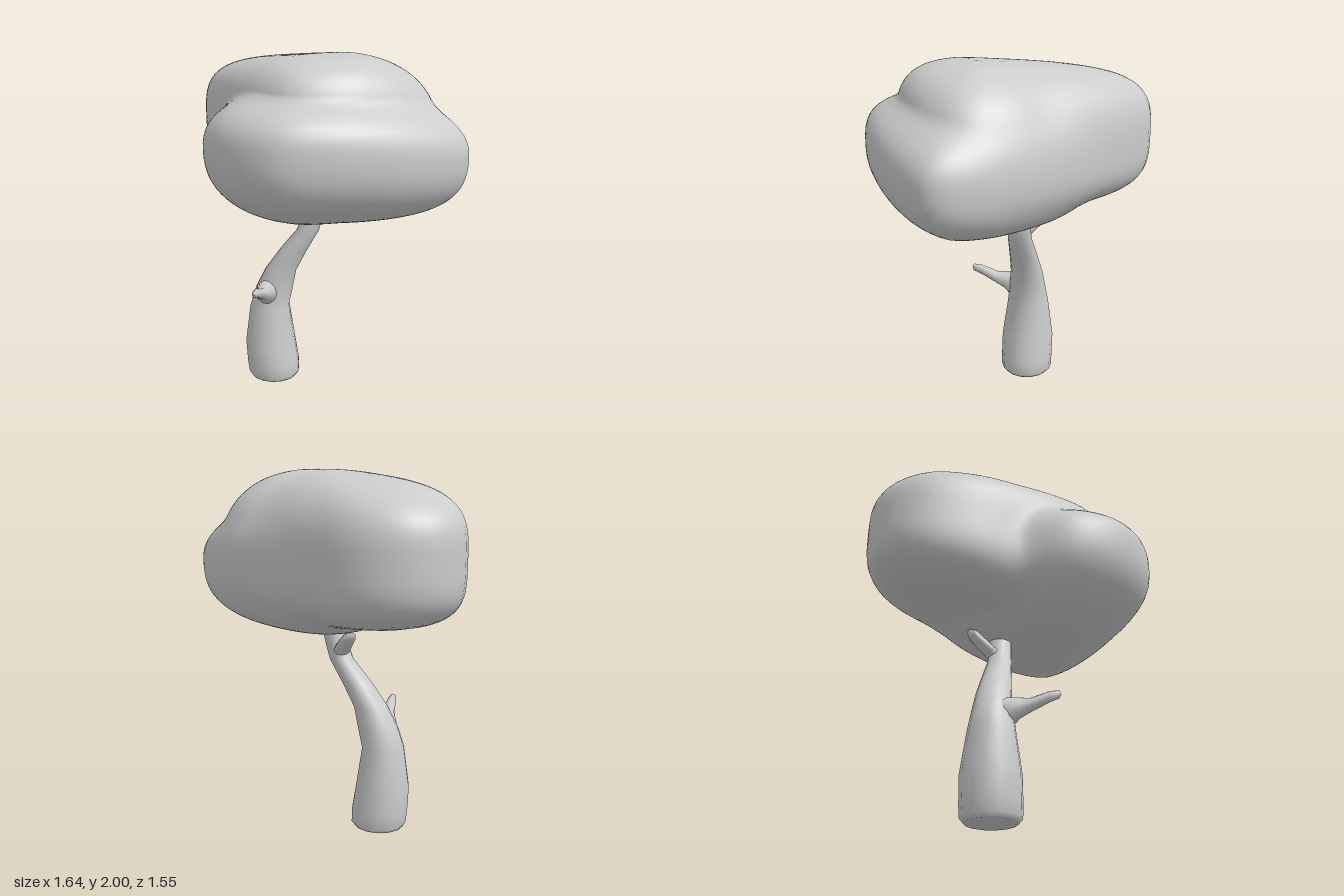
import * as THREE from 'three';

const material = new THREE.MeshStandardMaterial({ color: 0xcccccc });

// Smooth skin over closed rings; point(i, angle) gives a vertex, rings run along the part's axis
function skin(name, rings, sides, point) {
  const pos = [], idx = [];
  for (let i = 0; i < rings; i++) {
    for (let j = 0; j < sides; j++) {
      pos.push(...point(i, (j / sides) * Math.PI * 2));
      if (i === rings - 1) continue;
      const a = i * sides + j, b = i * sides + ((j + 1) % sides);
      idx.push(a, a + sides, b, b, a + sides, b + sides);
    }
  }
  const geo = new THREE.BufferGeometry();
  geo.setAttribute('position', new THREE.Float32BufferAttribute(pos, 3));
  geo.setIndex(idx);
  geo.computeVertexNormals();
  const mesh = new THREE.Mesh(geo, material);
  mesh.name = name;
  return mesh;
}

// Limb from rows of [x, y, z, radiusA, radiusB], with rings across the y or z axis
function limb(name, rows, axis, sides) {
  return skin(name, rows.length, sides, (i, a) => {
    const [x, y, z, ra, rb] = rows[i];
    const u = ra * Math.cos(a), v = rb * Math.sin(a);
    return axis === 'y' ? [x + u, y, z + v] : [x + u, y - v, z];
  });
}

// Distance from the origin to a smooth closed outline, as a function of angle
function outline(points) {
  const curve = new THREE.CatmullRomCurve3(points.map(([x, z]) => new THREE.Vector3(x, 0, z)), true);
  const p = curve.getPoints(300);
  return (angle) => {
    const c = Math.cos(angle), s = Math.sin(angle);
    for (let k = 0; k < 300; k++) {
      const d0 = p[k].z * c - p[k].x * s, d1 = p[k + 1].z * c - p[k + 1].x * s;
      if (d0 * d1 > 0 || d0 === d1) continue;
      const t = d0 / (d0 - d1);
      const r = (p[k].x * c + p[k].z * s) * (1 - t) + (p[k + 1].x * c + p[k + 1].z * s) * t;
      if (r > 0) return r;
    }
    return 0;
  };
}

// Rounded vertical profile: 1 at the middle height, 0 at the bottom and top
function bulge(y, low, mid, high, lowPower, highPower) {
  const s = Math.min(1, Math.abs(y - mid) / (y < mid ? mid - low : high - mid));
  const power = y < mid ? lowPower : highPower;
  return Math.pow(1 - Math.pow(s, power), 1 / power);
}

function smoothMax(a, b, k) {
  const h = Math.max(0, k - Math.abs(a - b)) / k;
  return Math.max(a, b) + (h * h * k) / 4;
}

// Foliage: a tall block running to the back, blended with a lower, wider lobe in front
function canopy() {
  const block = outline([
    [-0.42, -0.78], [-0.57, -0.76], [-0.7, -0.69], [-0.79, -0.57], [-0.82, -0.42],
    [-0.78, -0.27], [-0.7, -0.11], [-0.57, 0.07], [-0.4, 0.29], [-0.2, 0.48],
    [-0.02, 0.57], [0.18, 0.53], [0.4, 0.38], [0.56, 0.22], [0.65, 0.07],
    [0.64, -0.07], [0.52, -0.24], [0.33, -0.385], [0.12, -0.53], [-0.12, -0.67],
    [-0.28, -0.75],
  ]);
  const lobe = outline([
    [-0.52, 0.06], [-0.55, 0.17], [-0.55, 0.31], [-0.52, 0.42], [-0.44, 0.55],
    [-0.33, 0.66], [-0.18, 0.74], [0, 0.77], [0.21, 0.7], [0.42, 0.57],
    [0.6, 0.42], [0.73, 0.28], [0.8, 0.17], [0.82, 0.1], [0.78, 0],
    [0.65, -0.15], [0.52, -0.25], [0.33, -0.37], [0.1, -0.49], [-0.1, -0.54],
    [-0.28, -0.5], [-0.42, -0.35], [-0.48, -0.15],
  ]);
  const half = 32;
  return skin('canopy', half * 2 + 1, 96, (i, a) => {
    // Levels crowd towards the flat top and underside
    const u = (i - half) / half;
    const y = 1.55 + 0.45 * Math.sign(u) * (1 - Math.pow(1 - Math.abs(u), 3));
    const c = Math.cos(a), s = Math.sin(a);
    // The back right side leans inwards as it rises; the lobe is fuller in front
    const lean = Math.max(0, Math.cos(a + 0.7));
    const rBlock = block(a) * bulge(y, 1.18, 1.55 - 0.08 * lean, 2, 3.8 - 1.3 * lean, 3.8 - 1.6 * lean);
    const lowPower = 2.3 + 0.5 * Math.max(0, Math.cos(a + 0.5));
    const rLobe = lobe(a) * bulge(y, 1.1, 1.48 + 0.06 * s, 1.83, lowPower, 2.15 + 1.05 * s * s);
    const r = Math.abs(u) === 1 ? 0 : smoothMax(rBlock, rLobe, 0.08);
    const x = r * c, z = r * s;
    // The top slopes down towards the back corner
    const slope = 0.12 * Math.max(0, (y - 1.5) / 0.5) * Math.max(0, 0.1 - (x + z) / 2);
    return [x, y - slope, z];
  });
}

export function createModel() {
  const tree = new THREE.Group();
  tree.name = 'tree';
  tree.add(canopy());

  tree.add(limb('trunk', [
    [-0.322, 0, -0.095, 0, 0], [-0.322, 0.005, -0.095, 0.14, 0.135],
    [-0.321, 0.03, -0.095, 0.156, 0.157], [-0.326, 0.1, -0.095, 0.16, 0.159],
    [-0.341, 0.24, -0.095, 0.152, 0.159], [-0.342, 0.47, -0.095, 0.119, 0.126],
    [-0.312, 0.58, -0.097, 0.114, 0.111], [-0.27, 0.7, -0.1, 0.095, 0.096],
    [-0.19, 0.83, -0.1, 0.082, 0.083], [-0.1, 0.96, -0.1, 0.066, 0.07],
    [-0.075, 1.04, -0.103, 0.063, 0.067], [-0.055, 1.12, -0.105, 0.06, 0.066],
    [-0.03, 1.25, -0.105, 0.055, 0.06],
  ], 'y', 14));

  tree.add(limb('frontStub', [
    [-0.33, 0.57, -0.08, 0.07, 0.08], [-0.33, 0.582, 0.02, 0.062, 0.07],
    [-0.327, 0.597, 0.05, 0.052, 0.053], [-0.323, 0.61, 0.1, 0.038, 0.037],
    [-0.32, 0.652, 0.2, 0.026, 0.029], [-0.317, 0.664, 0.25, 0.018, 0.022],
    [-0.317, 0.665, 0.262, 0, 0],
  ], 'z', 10));

  tree.add(limb('upperBranch', [
    [-0.09, 0.97, -0.11, 0.035, 0.035], [-0.115, 1.025, -0.145, 0.048, 0.05],
    [-0.145, 1.065, -0.19, 0.046, 0.046], [-0.17, 1.1, -0.225, 0.042, 0.042],
    [-0.185, 1.125, -0.24, 0.032, 0.032], [-0.2, 1.14, -0.255, 0, 0],
  ], 'y', 10));

  return tree;
}
